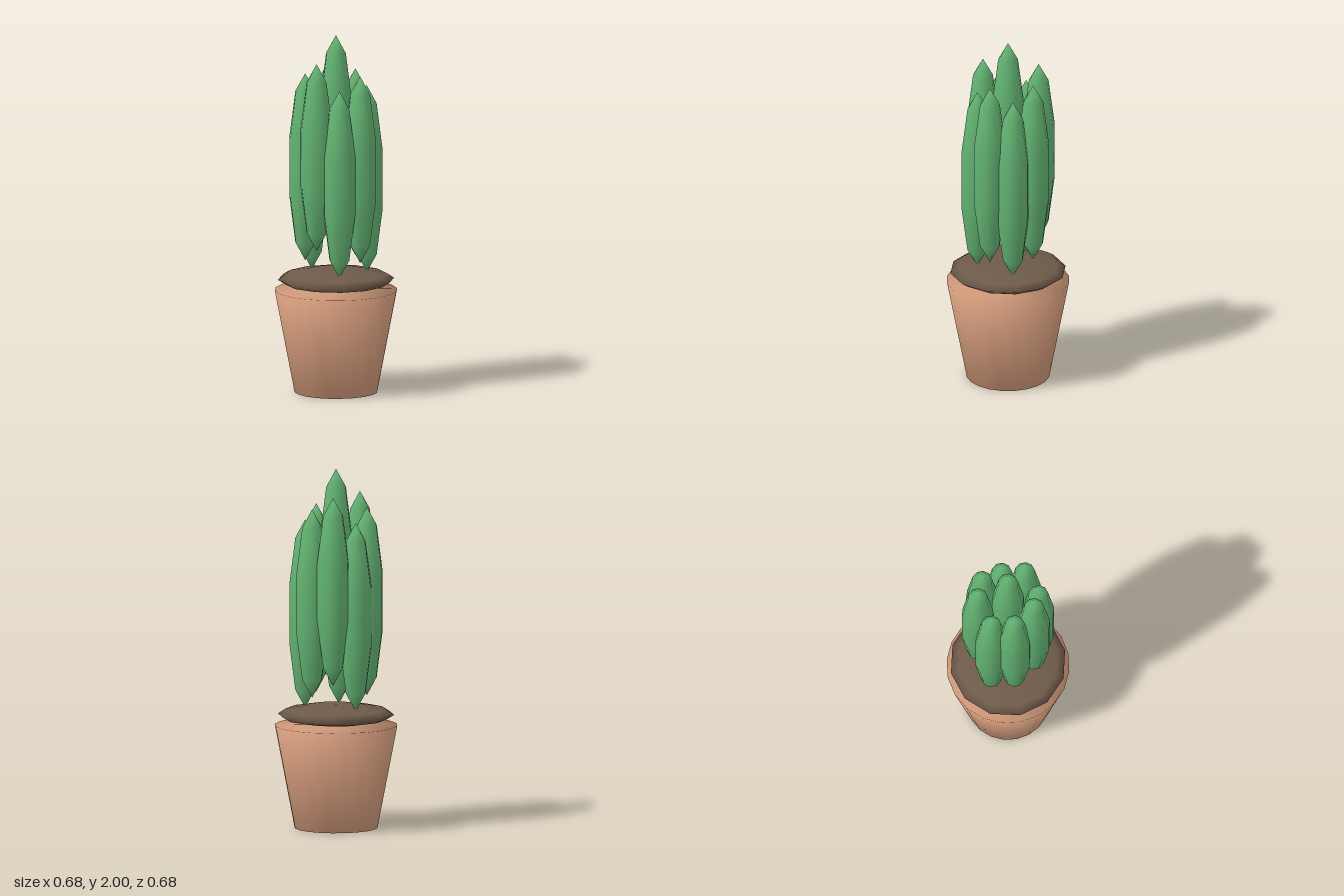
import * as THREE from 'three';

const terracotta = new THREE.MeshStandardMaterial({ color: 0xd49c7c });
terracotta.name = 'terracotta';
const soilBrown = new THREE.MeshStandardMaterial({ color: 0x6e5a49 });
soilBrown.name = 'soilBrown';
const cactusGreen = new THREE.MeshStandardMaterial({ color: 0x63b372 });
cactusGreen.name = 'cactusGreen';

// Low-poly sphere stretched to an ellipsoid, one column of vertices facing front
function ellipsoid(radius, halfHeight, sides, rings) {
  return new THREE.SphereGeometry(radius, sides, rings)
    .rotateY(Math.PI / 2)
    .scale(1, halfHeight / radius, 1);
}

function addPart(parent, name, geometry, material, x = 0, y = 0, z = 0) {
  const mesh = new THREE.Mesh(geometry, material);
  mesh.name = name;
  mesh.position.set(x, y, z);
  parent.add(mesh);
}

export function createModel() {
  const model = new THREE.Group();
  model.name = 'pottedCactus';

  // Tapered closed pot with soft shading over its edges
  const potProfile = [[0, 0], [0.23, 0], [0.34, 0.572], [0, 0.572]]
    .map(([r, y]) => new THREE.Vector2(r, y));
  addPart(model, 'pot', new THREE.LatheGeometry(potProfile, 20), terracotta);

  // Flattened mound of soil resting on the pot
  addPart(model, 'soil', ellipsoid(0.322, 0.055, 12, 6), soilBrown, 0, 0.632, 0);

  // One tall central stem inside a ring of eight, stepping through three heights
  const stems = new THREE.Group();
  stems.name = 'stems';
  model.add(stems);
  const halfHeight = 0.525;
  const stemGeometry = ellipsoid(0.0945, halfHeight, 10, 5);
  addPart(stems, 'centreStem', stemGeometry, cactusGreen, 0, 2 - halfHeight, 0);
  for (let i = 0; i < 8; i++) {
    const angle = (i * Math.PI) / 4;
    const top = 1.716 + 0.073 * (i % 3);
    addPart(stems, `outerStem${i + 1}`, stemGeometry, cactusGreen,
      0.171 * Math.cos(angle), top - halfHeight, -0.171 * Math.sin(angle));
  }

  return model;
}
